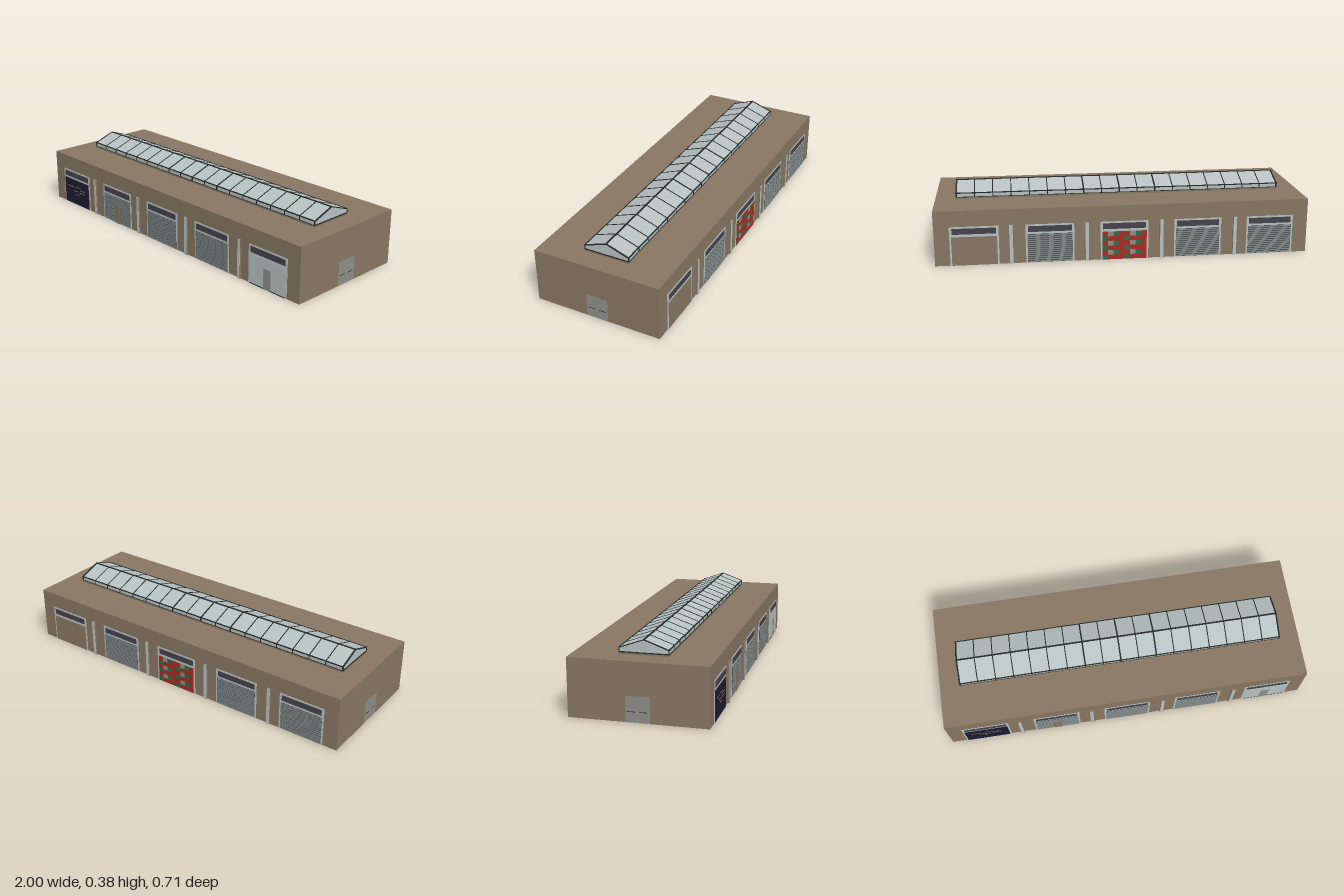
import * as THREE from 'three';

const mat = (name, color, extra = {}) => {
  const m = new THREE.MeshStandardMaterial({ color, ...extra });
  m.name = name;
  return m;
};

export function createModel() {
  const brown = mat('brownWall', 0x877661);
  const pale = mat('paleGrey', 0xb6c1c1);
  const dark = mat('darkMetal', 0x242a29);
  const pane = mat('darkPane', 0x45434b);
  const steel = mat('shutterSteel', 0x7f8787);
  const navy = mat('navyPaint', 0x1c1832);
  const doorGrey = mat('doorGrey', 0x8d8e88);
  const red = mat('redPaint', 0xa82a22);
  const green = mat('greenPaint', 0x2f6c46);
  const ochre = mat('ochrePaint', 0x8a784e);

  const root = new THREE.Group();
  root.name = 'warehouse';

  // Box given by its centre x, bottom y, centre z
  const box = (parent, name, material, w, h, d, x, y, z) => {
    const mesh = new THREE.Mesh(new THREE.BoxGeometry(w, h, d), material);
    mesh.name = name;
    mesh.position.set(x, y + h / 2, z);
    parent.add(mesh);
    return mesh;
  };

  const W = 0.348; // half depth of the building
  box(root, 'building', brown, 2, 0.298, 2 * W, 0, 0, 0);

  // Roller shutter: dark backing with separate slats
  const shutter = (g, slatMat) => {
    box(g, 'shutterBacking', dark, 0.238, 0.156, 0.001, 0, 0.002, 0.0025);
    const n = 14, pitch = 0.156 / n;
    for (let i = 0; i < n; i++)
      box(g, 'slat', slatMat, 0.238, pitch * 0.8, 0.002, 0, 0.003 + i * pitch, 0.003);
  };

  const styles = {
    steel: (g) => shutter(g, steel),
    steelWicket: (g) => {
      shutter(g, steel);
      box(g, 'wicketDoor', brown, 0.048, 0.11, 0.002, 0, 0, 0.004);
    },
    // Dark shutter with loose paint strokes
    painted: (g) => {
      shutter(g, navy);
      [[-0.06, 0.108, 0.06], [0.01, 0.112, 0.05], [0.055, 0.1, 0.05],
        [-0.015, 0.085, 0.05], [0.05, 0.083, 0.055], [0, 0.066, 0.04]].forEach(([x, y, w]) =>
        box(g, 'paintStroke', ochre, w, 0.005, 0.001, x, y, 0.0042));
    },
    panel: (g) => {
      box(g, 'doorPanel', pale, 0.238, 0.156, 0.002, 0, 0.002, 0.0025);
      box(g, 'threshold', dark, 0.238, 0.005, 0.002, 0, 0, 0.003);
      box(g, 'wicketDoor', doorGrey, 0.048, 0.11, 0.002, 0, 0, 0.004);
    },
    plain: (g) => box(g, 'doorPanel', brown, 0.238, 0.156, 0.002, 0, 0, 0.0025),
    // Red door with diagonal green and grey patches
    chequered: (g) => {
      box(g, 'doorPanel', red, 0.238, 0.156, 0.002, 0, 0, 0.0025);
      const cols = 8, rows = 6;
      for (let i = 0; i < cols; i++) for (let j = 0; j < rows; j++) {
        const k = (i + 2 * j) % 4;
        if (k === 0 || k === 3 && j % 2) box(g, 'patch', k === 0 ? green : doorGrey, 0.238 / cols, 0.156 / rows, 0.001,
          -0.119 + (i + 0.5) * 0.238 / cols, j * 0.156 / rows, 0.0036);
      }
    },
  };

  // One long side: five bays separated by four pilasters
  const facade = (name, list) => {
    const side = new THREE.Group();
    side.name = name;
    list.forEach((style, i) => {
      const bay = new THREE.Group();
      bay.name = 'bay';
      bay.position.set((i - 2) * 0.396, 0, W);
      box(bay, 'doorFrame', pale, 0.256, 0.211, 0.003, 0, 0, 0.0005);
      box(bay, 'transomWindow', pane, 0.23, 0.032, 0.002, 0, 0.17, 0.002);
      styles[style](bay);
      side.add(bay);
    });
    for (const x of [-0.6, -0.2, 0.2, 0.6]) {
      box(side, 'pilaster', brown, 0.022, 0.2135, 0.008, x, 0, W + 0.004);
      box(side, 'pilasterFace', pale, 0.018, 0.2135, 0.001, x, 0, W + 0.0085);
    }
    root.add(side);
    return side;
  };
  facade('frontSide', ['painted', 'steelWicket', 'steel', 'steel', 'panel']);
  facade('backSide', ['plain', 'steel', 'chequered', 'steel', 'steel']).rotation.y = Math.PI;

  // Double doors in both end walls
  for (const s of [1, -1]) {
    box(root, 'endDoor', doorGrey, 0.002, 0.13, 0.12, s * 0.9995, 0, 0);
    for (const z of [-0.03, 0.03])
      box(root, 'pushBar', dark, 0.002, 0.003, 0.04, s * 1.0005, 0.052, z);
  }

  // Ridge skylight
  const skylight = new THREE.Group();
  skylight.name = 'skylight';
  root.add(skylight);
  box(skylight, 'curb', brown, 1.78, 0.013, 0.248, 0, 0.297, 0);
  box(skylight, 'curbTrim', dark, 1.782, 0.003, 0.25, 0, 0.307, 0);

  // Gabled cross-section, grown outwards by t
  const gable = (Type, t) => {
    const p = new Type();
    const hw = 0.123 + t;
    p.moveTo(-hw, 0.31 - t);
    p.lineTo(hw, 0.31 - t);
    p.lineTo(hw, 0.33 + t * 0.7);
    p.lineTo(0, 0.374 + t);
    p.lineTo(-hw, 0.33 + t * 0.7);
    p.closePath();
    return p;
  };
  const along = (name, shape, length, x, material) => {
    const geo = new THREE.ExtrudeGeometry(shape, { depth: length, bevelEnabled: false });
    geo.translate(0, 0, -length / 2).rotateY(Math.PI / 2);
    const mesh = new THREE.Mesh(geo, material);
    mesh.name = name;
    mesh.position.x = x;
    skylight.add(mesh);
  };
  along('glazing', gable(THREE.Shape, 0), 1.776, 0, pale);
  const rib = gable(THREE.Shape, 0.002);
  rib.holes.push(gable(THREE.Path, -0.002));
  for (let i = -9; i <= 9; i++) {
    const end = Math.abs(i) === 9;
    const wide = end || i === 0 || Math.abs(i) === 2;
    along('glazingRib', rib, wide ? 0.008 : 0.005, end ? Math.sign(i) * 0.887 : i * 0.0987, dark);
  }
  // Bars along the ridge and eaves
  box(skylight, 'ridgeBar', dark, 1.78, 0.004, 0.008, 0, 0.3725, 0);
  for (const z of [-0.123, 0.123])
    box(skylight, 'eavesBar', dark, 1.78, 0.005, 0.005, 0, 0.328, z);

  return root;
}
